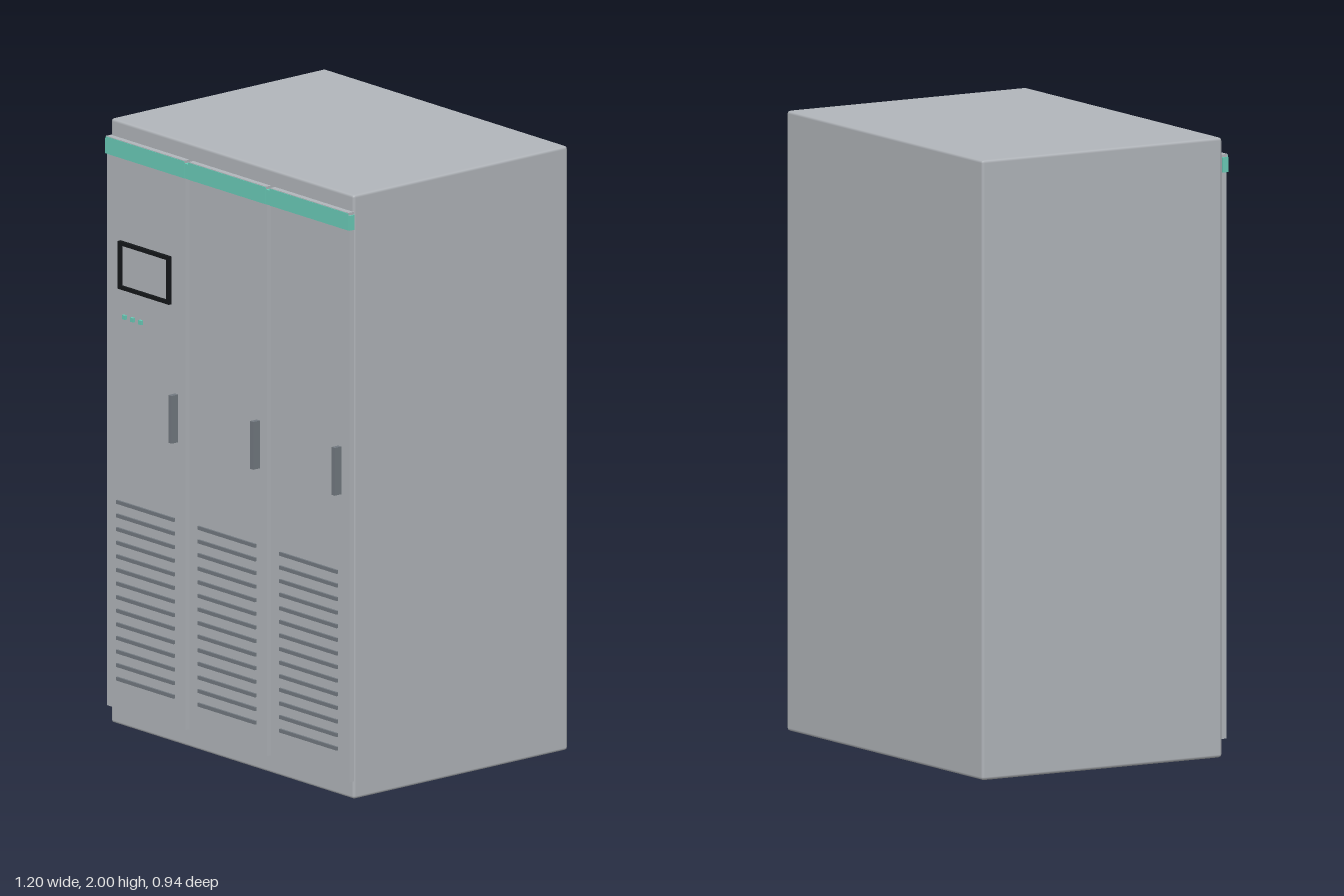
import * as THREE from 'three';
import { RoundedBoxGeometry } from 'three/addons/geometries/RoundedBoxGeometry.js';

function material(name, color) {
  const m = new THREE.MeshStandardMaterial({ color });
  m.name = name;
  return m;
}

export function createModel() {
  const grey = material('cabinet grey', 0xb2b6bb);
  const darkGrey = material('dark grey', 0x737a81);
  const teal = material('teal', 0x6accb8);
  const black = material('black', 0x14171a);

  const model = new THREE.Group();
  model.name = 'cabinet';

  // Box given by its lower and upper limits on each axis
  function box(name, mat, [x0, x1], [y0, y1], [z0, z1], parent = model) {
    const mesh = new THREE.Mesh(new THREE.BoxGeometry(x1 - x0, y1 - y0, z1 - z0), mat);
    mesh.position.set((x0 + x1) / 2, (y0 + y1) / 2, (z0 + z1) / 2);
    mesh.name = name;
    parent.add(mesh);
    return mesh;
  }

  // Housing with softened edges
  const body = new THREE.Mesh(new RoundedBoxGeometry(1.194, 2, 0.897, 1, 0.01), grey);
  body.position.set(0, 1, -0.0215);
  body.name = 'housing';
  model.add(body);

  // Teal strip behind and beside the doors
  box('trimStrip', teal, [-0.6, 0.6], [1.887, 1.936], [0.426, 0.447]);

  // Three doors, each with trim, handle and louvres
  const doorFront = 0.443;
  const doors = [
    { x: [-0.595, -0.21], handle: -0.254, louvre: -0.402 },
    { x: [-0.19, 0.19], handle: 0.147, louvre: -0.003 },
    { x: [0.21, 0.595], handle: 0.547, louvre: 0.398 },
  ];
  for (const d of doors) {
    const door = new THREE.Group();
    door.name = 'door';
    model.add(door);
    box('doorPanel', grey, d.x, [0.06, 1.938], [0.425, doorFront], door);
    box('doorCap', grey, d.x, [1.937, 1.945], [0.425, 0.447], door);
    box('doorTrim', teal, d.x, [1.887, 1.943], [0.446, 0.449], door);
    box('handle', darkGrey, [d.handle - 0.008, d.handle + 0.008], [1.005, 1.163], [doorFront, 0.471], door);
    for (let i = 0; i < 14; i++) {
      const y = 0.16 + i * 0.045;
      box('louvre', darkGrey, [d.louvre - 0.141, d.louvre + 0.141], [y - 0.006, y + 0.006], [doorFront, 0.45], door);
    }
  }

  // Black display frame around a grey screen
  const rect = (path, w, h) => path.moveTo(-w, -h).lineTo(w, -h).lineTo(w, h).lineTo(-w, h).closePath();
  const outline = rect(new THREE.Shape(), 0.125, 0.079);
  outline.holes.push(rect(new THREE.Path(), 0.113, 0.067));
  const frame = new THREE.Mesh(
    new THREE.ExtrudeGeometry(outline, { depth: 0.013, bevelEnabled: false }), black);
  frame.position.set(-0.403, 1.534, doorFront);
  frame.name = 'displayFrame';
  model.add(frame);
  box('displayScreen', grey, [-0.517, -0.289], [1.466, 1.602], [doorFront, 0.446]);

  // Indicator lamps below the display
  for (const x of [-0.505, -0.465, -0.425]) {
    box('indicatorLamp', teal, [x - 0.007, x + 0.007], [1.357, 1.371], [doorFront, 0.452]);
  }

  return model;
}
